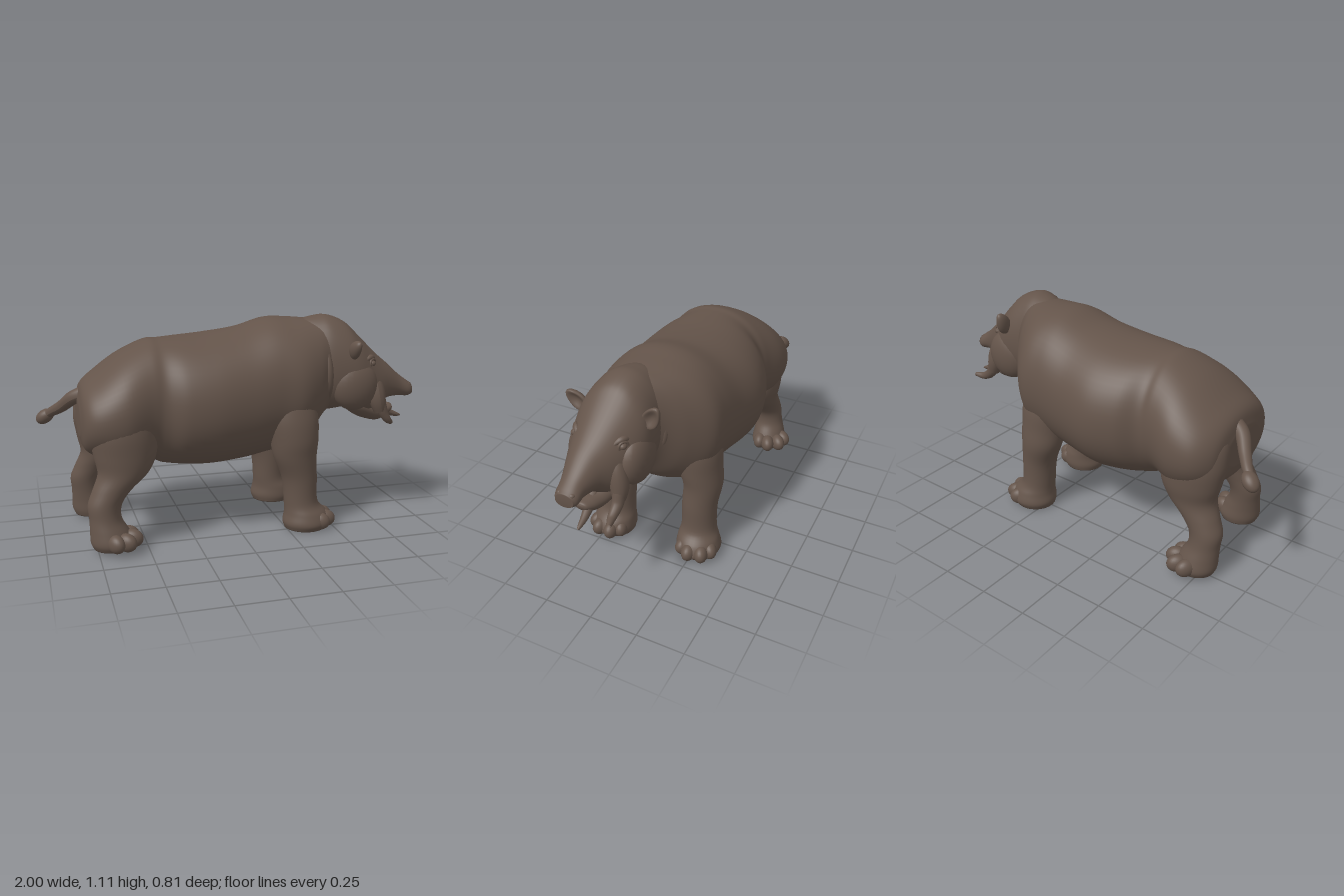
import * as THREE from 'three';

const V = (x, y, z) => new THREE.Vector3(x, y, z);

// Smooth closed skin through elliptical sections.
// axis 'x': [x, cy, cz, halfY, halfZ]; axis 'y': [y, cx, cz, halfX, halfZ]
function loft(sections, axis, { power = 2, taper = 0, rings = 60, sides = 40 } = {}) {
  const spine = new THREE.CatmullRomCurve3(sections.map(s => V(s[0], s[1], s[2])), false, 'catmullrom');
  const size = new THREE.CatmullRomCurve3(sections.map(s => V(s[3], s[4], 0)), false, 'catmullrom');
  const pos = [], idx = [];
  const put = (a, b, c) => (axis === 'x' ? pos.push(a, b, c) : pos.push(b, a, c));
  const soft = v => Math.sign(v) * Math.abs(v) ** (2 / power);
  for (let i = 0; i <= rings; i++) {
    const c = spine.getPoint(i / rings), h = size.getPoint(i / rings);
    for (let j = 0; j < sides; j++) {
      const a = (j / sides) * Math.PI * 2;
      const u = axis === 'x' ? Math.cos(a) : Math.sin(a);
      const w = axis === 'x' ? Math.sin(a) : Math.cos(a);
      put(c.x, c.y + h.x * soft(u), c.z + h.y * soft(w) * (1 - taper * u));
    }
  }
  for (let i = 0; i < rings; i++) for (let j = 0; j < sides; j++) {
    const k = (j + 1) % sides, a = i * sides + j, b = i * sides + k;
    idx.push(a, b, b + sides, a, b + sides, a + sides);
  }
  // End caps
  for (const [i, flip] of [[0, true], [rings, false]]) {
    const c = spine.getPoint(i / rings), n = pos.length / 3;
    put(c.x, c.y, c.z);
    for (let j = 0; j < sides; j++) {
      const a = i * sides + j, b = i * sides + (j + 1) % sides;
      flip ? idx.push(n, b, a) : idx.push(n, a, b);
    }
  }
  const g = new THREE.BufferGeometry();
  g.setAttribute('position', new THREE.Float32BufferAttribute(pos, 3));
  g.setIndex(idx);
  g.computeVertexNormals();
  return g;
}

// Tube whose radius follows a function of its length
function taperTube(points, radius, segs = 28, sides = 16) {
  const curve = new THREE.CatmullRomCurve3(points.map(p => V(...p)));
  const g = new THREE.TubeGeometry(curve, segs, 1, sides);
  const p = g.attributes.position, v = V(0, 0, 0);
  for (let k = 0; k < p.count; k++) {
    const t = Math.floor(k / (sides + 1)) / segs, c = curve.getPointAt(t);
    v.fromBufferAttribute(p, k).sub(c).multiplyScalar(radius(t)).add(c);
    p.setXYZ(k, v.x, v.y, v.z);
  }
  g.computeVertexNormals();
  return g;
}

export function createModel() {
  const model = new THREE.Group();
  const hide = new THREE.MeshStandardMaterial({ color: 0x64544a });
  hide.name = 'brown hide';

  const add = (name, geometry, parent = model) => {
    const m = new THREE.Mesh(geometry, hide);
    m.name = name;
    parent.add(m);
    return m;
  };
  const blob = (name, at, scale, parent) => {
    const m = add(name, new THREE.SphereGeometry(1, 24, 16), parent);
    m.position.set(...at);
    m.scale.set(...scale);
    return m;
  };

  // Torso from rump to neck
  add('body', loft([
    [-0.80, 0.63, 0, 0.09, 0.15], [-0.775, 0.635, 0, 0.165, 0.26], [-0.70, 0.642, -0.01, 0.222, 0.325],
    [-0.58, 0.66, -0.01, 0.29, 0.34], [-0.45, 0.70, -0.01, 0.31, 0.30], [-0.38, 0.69, -0.01, 0.325, 0.295],
    [-0.28, 0.685, -0.02, 0.335, 0.345], [-0.13, 0.685, -0.03, 0.345, 0.368], [0.05, 0.705, -0.025, 0.35, 0.345],
    [0.20, 0.74, -0.025, 0.358, 0.33], [0.32, 0.75, -0.02, 0.347, 0.32], [0.42, 0.785, 0.005, 0.305, 0.255],
    [0.50, 0.83, 0.03, 0.25, 0.18], [0.60, 0.84, 0.05, 0.19, 0.13],
  ], 'x', { power: 2.1, rings: 90, sides: 56 }));

  // Head, turned slightly to its left
  const head = new THREE.Group();
  head.name = 'head';
  model.add(head);
  add('skull', loft([
    [0.30, 0.86, 0.0, 0.15, 0.11], [0.38, 0.86, 0.015, 0.222, 0.15], [0.46, 0.86, 0.03, 0.247, 0.172],
    [0.52, 0.855, 0.04, 0.255, 0.18], [0.60, 0.845, 0.046, 0.235, 0.186], [0.66, 0.815, 0.052, 0.212, 0.18],
    [0.73, 0.768, 0.06, 0.19, 0.155], [0.79, 0.752, 0.07, 0.147, 0.126], [0.85, 0.748, 0.08, 0.10, 0.092],
    [0.92, 0.722, 0.085, 0.063, 0.066], [0.975, 0.70, 0.085, 0.045, 0.06], [1.0, 0.695, 0.085, 0.034, 0.046],
  ], 'x', { taper: 0.07, power: 2.15, rings: 80 }), head);
  add('lowerJaw', loft([
    [0.60, 0.67, 0.06, 0.04, 0.09], [0.68, 0.63, 0.06, 0.065, 0.105], [0.75, 0.598, 0.065, 0.062, 0.09],
    [0.81, 0.578, 0.07, 0.052, 0.072], [0.86, 0.582, 0.07, 0.038, 0.055], [0.895, 0.592, 0.07, 0.022, 0.035],
    [0.905, 0.596, 0.07, 0.006, 0.012],
  ], 'x', { rings: 36 }), head);
  add('lowerTusk', taperTube([[0.80, 0.61, 0.06], [0.86, 0.578, 0.05], [0.92, 0.548, 0.043], [0.98, 0.53, 0.04]],
    t => 0.03 * Math.sqrt(1 - t * 0.98)), head);

  for (const s of [1, -1]) {
    const side = s > 0 ? 'left' : 'right';
    const z = d => 0.06 + s * d;
    blob(side + 'Cheek', [0.635, 0.75, 0.048 + s * 0.13], [0.13, 0.135, 0.074], head);
    // Heavy upper lip running down into a tusk
    add(side + 'LipFlap', taperTube([[0.73, 0.83, z(0.085)], [0.755, 0.75, z(0.105)], [0.77, 0.66, z(0.122)], [0.785, 0.60, z(0.125)]],
      t => 0.012 + 0.036 * Math.sin(Math.PI * (0.1 + 0.72 * t))), head);
    const tip = s > 0 ? [0.86, 0.53, 0.175] : [0.92, 0.55, -0.085];
    add(side + 'Tusk', taperTube([[0.78, 0.65, z(0.125)], [0.805, 0.59, z(0.128)], [(tip[0] + 0.805) / 2, 0.55, z(0.128)], tip],
      t => 0.034 * Math.sqrt(1 - t * 0.9)), head);
    // Eye with a lid ring and brow
    blob(side + 'Eye', [0.728, 0.862, z(0.126)], [0.02, 0.016, 0.018], head);
    const lid = add(side + 'Eyelid', new THREE.TorusGeometry(0.023, 0.007, 10, 24), head);
    lid.position.set(0.73, 0.862, z(0.128));
    lid.rotation.y = s > 0 ? 0.6 : Math.PI - 0.6;
    add(side + 'Brow', taperTube([[0.68, 0.88, z(0.145)], [0.72, 0.893, z(0.12)], [0.76, 0.872, z(0.09)]],
      t => 0.003 + 0.013 * Math.sin(Math.PI * t), 16, 10), head);
    blob(side + 'Nostril', [0.977, 0.72, 0.085 + s * 0.03], [0.018, 0.014, 0.018], head);

    // Cupped, pointed ear facing forward
    const ear = new THREE.SphereGeometry(1, 24, 20), p = ear.attributes.position;
    for (let i = 0; i < p.count; i++) {
      const x = p.getX(i), y = p.getY(i), w = p.getZ(i);
      const width = 1 - 0.2 * y;
      const cup = w > 0 ? -1.2 * w * Math.max(0, 1 - x * x - y * y) : 0;
      p.setXYZ(i, x * 0.042 * width, y * 0.066, (w + cup) * 0.03);
    }
    ear.computeVertexNormals();
    const e = add(side + 'Ear', ear, head);
    e.position.set(0.608, s > 0 ? 0.95 : 0.96, s > 0 ? 0.242 : -0.145);
    e.rotation.set(s > 0 ? 0.95 : -0.5, Math.PI / 2, 0, 'XYZ');
  }

  // Fold of skin behind the jaw
  for (const s of [1, -1]) add('neckFold', taperTube([
    [0.46, 1.0, 0.03 + s * 0.13], [0.47, 0.88, 0.035 + s * 0.17], [0.48, 0.76, 0.035 + s * 0.17], [0.50, 0.66, 0.04 + s * 0.12],
  ], t => 0.004 + 0.022 * Math.sin(Math.PI * t)));

  // Legs: sections are given for the left side, then shifted or mirrored
  const foreSections = [
    [0.005, 0.345, 0.222, 0.11, 0.105], [0.04, 0.352, 0.225, 0.128, 0.117], [0.09, 0.347, 0.22, 0.114, 0.108],
    [0.15, 0.322, 0.212, 0.09, 0.092], [0.28, 0.312, 0.21, 0.094, 0.092], [0.40, 0.285, 0.215, 0.115, 0.10],
    [0.50, 0.278, 0.212, 0.13, 0.112], [0.62, 0.265, 0.188, 0.145, 0.122], [0.74, 0.25, 0.15, 0.13, 0.11],
    [0.84, 0.24, 0.10, 0.05, 0.05],
  ];
  const hindSections = [
    [0.02, -0.675, 0.265, 0.096, 0.088], [0.055, -0.675, 0.268, 0.11, 0.098], [0.11, -0.69, 0.262, 0.096, 0.088],
    [0.17, -0.706, 0.252, 0.08, 0.078], [0.24, -0.705, 0.243, 0.085, 0.078], [0.31, -0.665, 0.232, 0.098, 0.085],
    [0.39, -0.605, 0.216, 0.128, 0.103], [0.48, -0.592, 0.205, 0.157, 0.12], [0.60, -0.595, 0.185, 0.17, 0.138],
    [0.72, -0.59, 0.155, 0.15, 0.13], [0.82, -0.58, 0.10, 0.06, 0.06],
  ];
  // [name, sections, side, shift in x, outward shift of the foot, outward turn of the toes]
  const legs = [
    ['leftFront', foreSections, 1, 0.012, 0, 0.05],
    ['rightFront', foreSections, -1, -0.02, 0.036, 0.2],
    ['leftHind', hindSections, 1, 0, 0.005, 0.6],
    ['rightHind', hindSections, -1, -0.045, -0.018, 0.6],
  ];
  for (const [name, sections, s, dx, dz, yaw] of legs) {
    const leg = new THREE.Group();
    leg.name = name + 'Leg';
    model.add(leg);
    add(name + 'Limb', loft(sections.map(([y, x, z, a, b]) => [y, x + dx, s * (z + (y < 0.45 ? dz : dz * 0.5)), a, b]),
      'y', { rings: 50, sides: 32 }), leg);
    // Four rounded toes fanned around the front of the foot
    const [y0, fx, fz] = sections[1];
    [-0.92, -0.33, 0.33, 0.92].forEach((a, i) => {
      const r = Math.abs(a) > 0.5 ? 0.085 : 0.097, ang = a + yaw;
      const toe = blob(name + 'Toe' + (i + 1),
        [fx + dx + r * Math.cos(ang), y0 + 0.011, s * (fz + dz + r * Math.sin(ang))], [0.056, 0.047, 0.038], leg);
      toe.rotation.y = -s * (a * 0.5 + yaw);
    });
  }

  // Tail swung to the right, ending in a tuft
  add('tail', taperTube([[-0.74, 0.75, -0.02], [-0.81, 0.72, -0.05], [-0.87, 0.66, -0.12], [-0.92, 0.62, -0.18], [-0.96, 0.59, -0.21]],
    t => 0.042 - 0.02 * t));
  const tuft = blob('tailTuft', [-0.953, 0.59, -0.212], [0.055, 0.036, 0.04]);
  tuft.rotation.set(0, -0.5, 0.6);

  return model;
}
